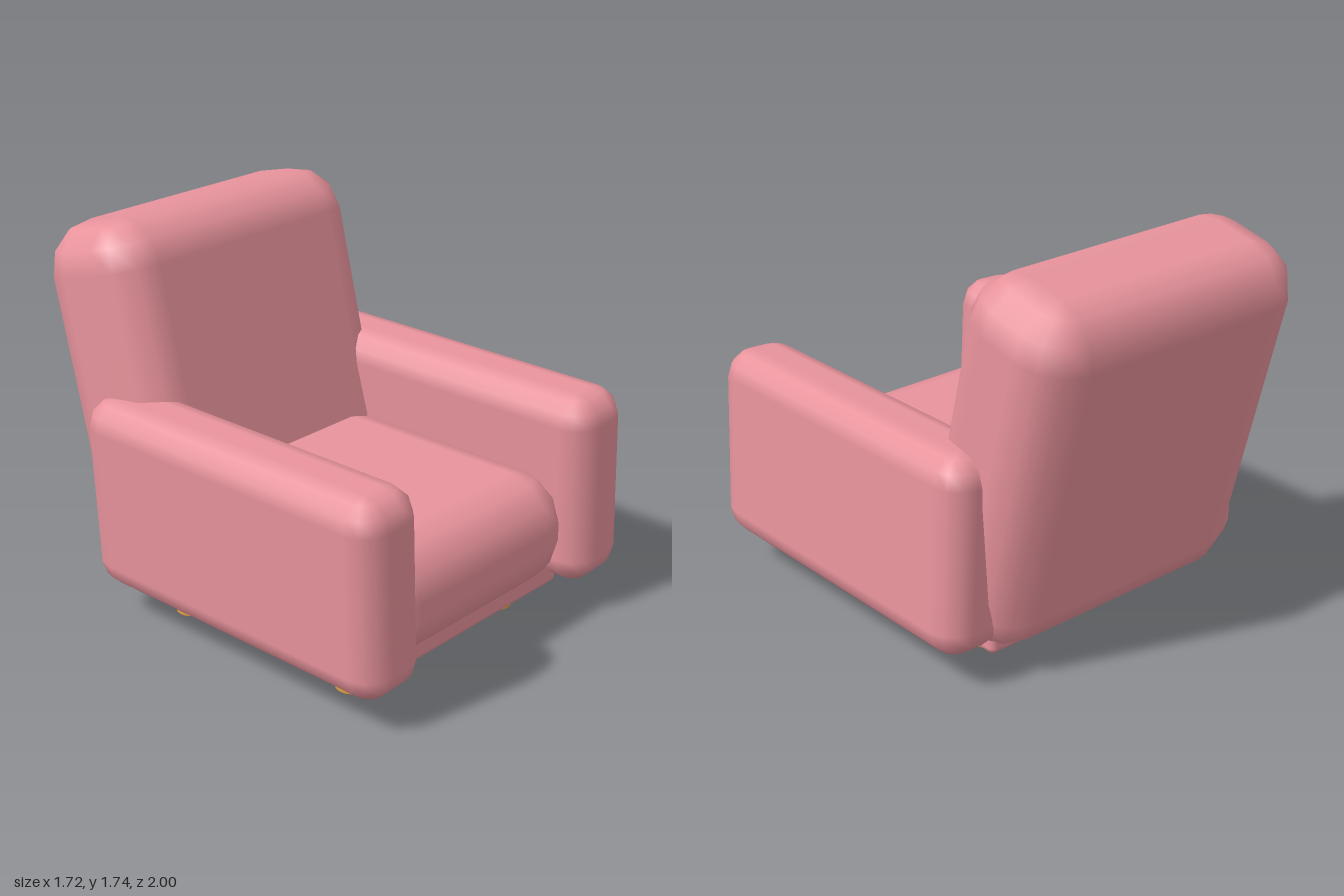
import * as THREE from 'three';

const fabric = new THREE.MeshStandardMaterial({ color: 0xe8939c });
const wood = new THREE.MeshStandardMaterial({ color: 0xe0a040 });

// Box with rounded edges, three equal-angle segments per quarter turn.
// A sphere grid is split into octants and each octant moved to its box corner.
function softBox(w, h, d, r) {
  const geo = new THREE.SphereGeometry(1, 16, 9);
  const pos = geo.attributes.position;
  const nor = geo.attributes.normal;
  const n = new THREE.Vector3();
  for (let row = 0; row <= 9; row++) {
    const top = row < 5;
    const cap = row === 0 || row === 9;
    const step = top ? row - 1 : row - 2;
    const theta = step * Math.PI / 6;
    for (let col = 0; col <= 16; col++) {
      const i = row * 17 + col;
      const quad = Math.floor(col / 4) % 4;
      const phi = quad * Math.PI / 2 + (col % 4) * Math.PI / 6;
      if (cap) {
        n.set(0, top ? 1 : -1, 0);
        pos.setXYZ(i, 0, n.y * h / 2, 0);
      } else {
        n.set(-Math.cos(phi) * Math.sin(theta), Math.cos(theta), Math.sin(phi) * Math.sin(theta));
        const sx = quad === 0 || quad === 3 ? -1 : 1;
        const sz = quad < 2 ? 1 : -1;
        pos.setXYZ(i,
          sx * (w / 2 - r) + n.x * r,
          (top ? 1 : -1) * (h / 2 - r) + n.y * r,
          sz * (d / 2 - r) + n.z * r);
      }
      nor.setXYZ(i, n.x, n.y, n.z);
    }
  }
  return geo;
}

function addPart(group, name, geometry, material, x, y, z) {
  const mesh = new THREE.Mesh(geometry, material);
  mesh.name = name;
  mesh.position.set(x, y, z);
  group.add(mesh);
  return mesh;
}

export function createModel() {
  const chair = new THREE.Group();
  chair.name = 'armchair';

  // Low base and thick seat cushion
  addPart(chair, 'base', softBox(1.29, 0.25, 1.42, 0.03), fabric, -0.035, 0.24, 0.11);
  addPart(chair, 'seatCushion', softBox(1.27, 0.51, 1.45, 0.215), fabric, -0.035, 0.425, 0.2);

  // Reclined backrest
  const back = addPart(chair, 'backrest', softBox(1.435, 1.632, 0.595, 0.21), fabric, -0.037, 0.924, -0.565);
  back.rotation.x = -0.244;

  // Armrests, both leaning slightly to the same side
  const armGeometry = softBox(0.345, 0.88, 1.63, 0.125);
  for (const [name, x] of [['rightArmrest', -0.677], ['leftArmrest', 0.668]]) {
    addPart(chair, name, armGeometry, fabric, x, 0.593, 0.185).rotation.z = 0.05;
  }

  // Short round legs
  const legGeometry = new THREE.CylinderGeometry(0.072, 0.072, 0.16, 24);
  const legs = [
    ['frontRightLeg', -0.513, 0.617], ['frontLeftLeg', 0.437, 0.617],
    ['backRightLeg', -0.513, -0.33], ['backLeftLeg', 0.413, -0.33],
  ];
  for (const [name, x, z] of legs) addPart(chair, name, legGeometry, wood, x, 0.08, z);

  return chair;
}
